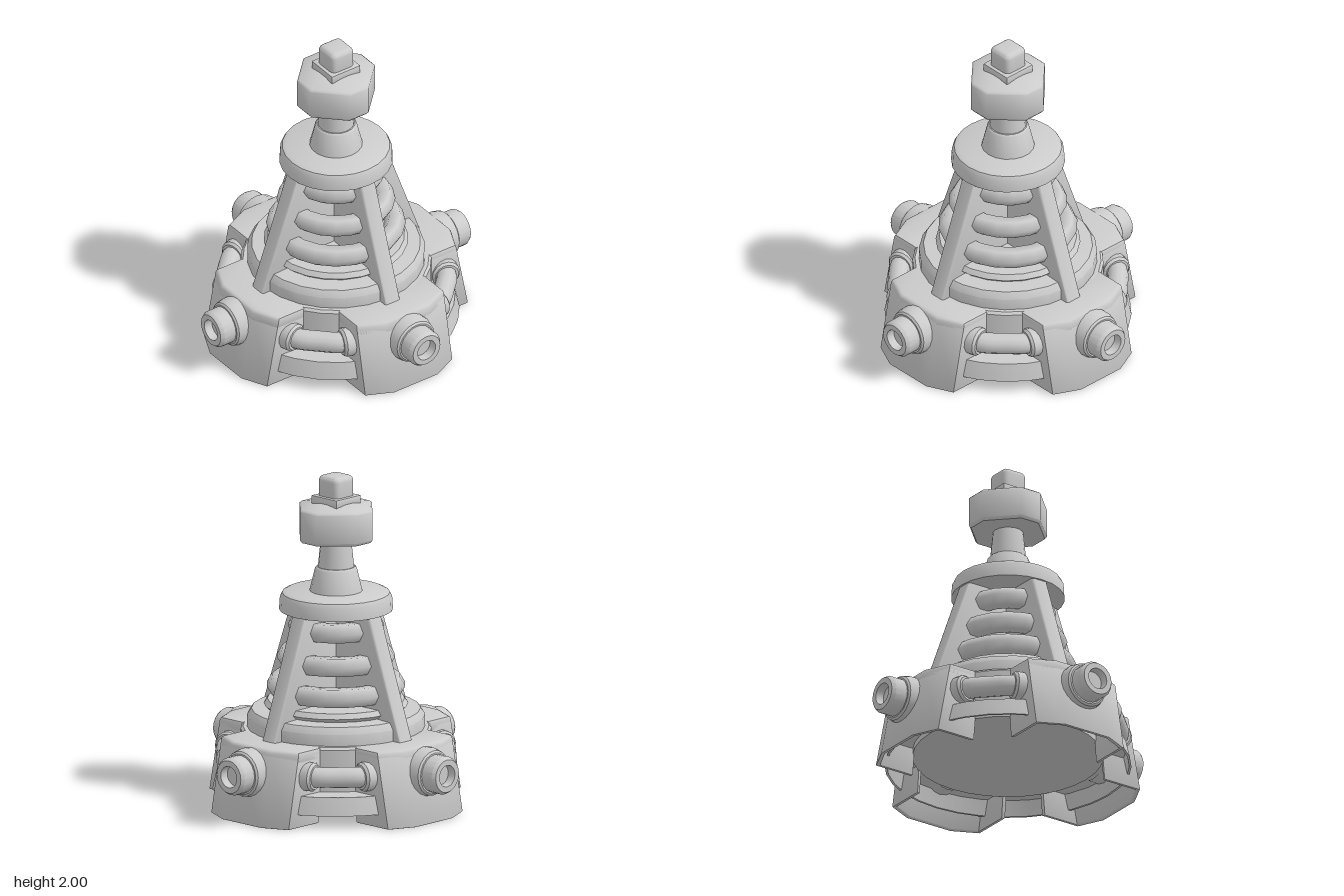
import * as THREE from 'three';
import { toCreasedNormals } from 'three/addons/utils/BufferGeometryUtils.js';
import { RoundedBoxGeometry } from 'three/addons/geometries/RoundedBoxGeometry.js';

const material = new THREE.MeshStandardMaterial({ color: 0xcccccc });

function part(name, geometry, crease = 0.6) {
  const mesh = new THREE.Mesh(toCreasedNormals(geometry, crease), material);
  mesh.name = name;
  return mesh;
}

// Profile points run from the bottom centre outwards and up
function lathe(points, segments) {
  return new THREE.LatheGeometry(points.map(([r, y]) => new THREE.Vector2(r, y)), segments);
}

function polygon(points) {
  return new THREE.Shape(points.map(([x, y]) => new THREE.Vector2(x, y)));
}

// Piece of a foot: bevelled plan outline between two heights, outer face leaning inwards
function footPiece(outline, bottom, top, bevel) {
  const g = new THREE.ExtrudeGeometry(polygon(outline), {
    depth: top - bottom - 2 * bevel, bevelThickness: bevel, bevelSize: bevel,
    bevelOffset: -bevel, bevelSegments: 2,
  });
  g.translate(0, 0, bottom + bevel).rotateX(-Math.PI / 2).rotateY(Math.PI);
  const p = g.attributes.position;
  for (let i = 0; i < p.count; i++) {
    const z = p.getZ(i);
    p.setZ(i, z - (z > 0.63 ? 0.09 : 0.04) * p.getY(i) / 0.46);
  }
  return g;
}

// Hollow foot, open underneath: a thin three-sided wall under a top slab
function foot() {
  const outer = [[0.32, 0.48], [0.32, 0.74], [0.16, 0.815], [-0.16, 0.815], [-0.32, 0.74], [-0.32, 0.48]];
  const inner = [[-0.3, 0.485], [-0.3, 0.722], [-0.153, 0.793], [0.153, 0.793], [0.3, 0.722], [0.3, 0.485]];
  const group = new THREE.Group();
  group.name = 'foot';
  group.add(part('footWall', footPiece([...outer, ...inner], 0, 0.43, 0.006), 0.75));
  group.add(part('footTop', footPiece(outer, 0.38, 0.46, 0.018), 0.75));
  return group;
}

// Round port with a flange and a recessed end, pointing along +z
function portGeometry() {
  const g = lathe([[0.145, 0.62], [0.148, 0.765], [0.137, 0.81], [0.125, 0.82], [0.115, 0.82],
    [0.115, 0.9], [0.1, 0.922], [0.066, 0.922], [0.062, 0.87], [0, 0.87]], 20);
  return g.rotateX(Math.PI / 2);
}

// Sloping fin reaching the centre axis
function finGeometry() {
  const g = new THREE.ExtrudeGeometry(polygon([[0, 0.44], [0.588, 0.44], [0.318, 1.2], [0, 1.2]]), {
    depth: 0.08, bevelThickness: 0.015, bevelSize: 0.015, bevelOffset: -0.015, bevelSegments: 2,
  });
  return g.translate(0, 0, -0.04).rotateY(-Math.PI / 2);
}

// Bent pipe joining two neighbouring feet, with a collar at each end
function pipe() {
  const group = new THREE.Group();
  group.name = 'pipe';
  const path = new THREE.CatmullRomCurve3(
    [[0.28, 0.575], [0.365, 0.55], [0.462, 0.462], [0.55, 0.365], [0.575, 0.28]]
      .map(([x, z]) => new THREE.Vector3(x, 0.3, z)));
  group.add(part('pipeTube', new THREE.TubeGeometry(path, 14, 0.063, 12)));
  const collar = lathe([[0, -0.05], [0.08, -0.05], [0.088, -0.03], [0.088, 0.015], [0.075, 0.03], [0, 0.03]], 14);
  for (const end of [0, 1]) {
    const mesh = part('pipeCollar', collar);
    const t = end ? 0.87 : 0.13;
    mesh.position.copy(path.getPointAt(t));
    const direction = path.getTangentAt(t).multiplyScalar(end ? -1 : 1);
    mesh.quaternion.setFromUnitVectors(new THREE.Vector3(0, 1, 0), direction);
    group.add(mesh);
  }
  return group;
}

// Square block with cut corners: an eight-sided lathe whose axis-facing flats are narrowed
function headGeometry() {
  const k = 1 / Math.cos(Math.PI / 8);
  const g = lathe([[0, 1.608], [0.225 * k, 1.608], [0.238 * k, 1.625], [0.238 * k, 1.8],
    [0.225 * k, 1.812], [0.1 * k, 1.838], [0, 1.838]], 8).rotateY(Math.PI / 8);
  const p = g.attributes.position;
  for (let i = 0; i < p.count; i++) {
    if (Math.abs(p.getX(i)) < Math.abs(p.getZ(i))) p.setX(i, p.getX(i) * 0.68);
    else p.setZ(i, p.getZ(i) * 0.68);
  }
  return g;
}

export function createModel() {
  const model = new THREE.Group();
  model.name = 'tower';

  // Base drum, thin skirt around it, and the stepped tier on top
  model.add(part('baseDrum', lathe([[0, 0.14], [0.57, 0.14], [0.57, 0.445], [0.555, 0.46], [0, 0.46]], 32)));
  model.add(part('skirt', lathe([[0.56, 0.176], [0.7, 0.176], [0.723, 0.08], [0.737, 0.08],
    [0.712, 0.19], [0.56, 0.19]], 32)));
  model.add(part('baseTier', lathe([[0, 0.45], [0.532, 0.45], [0.532, 0.53], [0.505, 0.57], [0.4, 0.575],
    [0.41, 0.58], [0.432, 0.6], [0.41, 0.63], [0, 0.63]], 24)));

  // Four quarters: foot, port, fin and connecting pipe
  for (let i = 0; i < 4; i++) {
    const quarter = new THREE.Group();
    quarter.name = 'quarter';
    quarter.rotation.y = i * Math.PI / 2;
    const port = part('port', portGeometry());
    port.position.y = 0.305;
    quarter.add(foot(), port, part('fin', finGeometry(), 0.9), pipe());
    model.add(quarter);
  }

  // Coil rings shrinking upwards
  for (const [y, radius] of [[0.715, 0.417], [0.89, 0.355], [1.08, 0.288]]) {
    const ring = part('coilRing', new THREE.TorusGeometry(radius - 0.063, 0.063, 6, 20).rotateX(Math.PI / 2), 1.2);
    ring.position.y = y;
    model.add(ring);
  }

  // Cap and mast
  model.add(part('cap', lathe([[0, 1.178], [0.34, 1.178], [0.335, 1.255], [0.322, 1.28],
    [0.297, 1.292], [0, 1.292]], 24)));
  model.add(part('mast', lathe([[0.16, 1.285], [0.125, 1.43], [0.115, 1.44], [0.108, 1.44],
    [0.09, 1.62]], 18)));

  // Head, square plate and tip
  const plate = part('tipPlate', new RoundedBoxGeometry(0.21, 0.06, 0.21, 1, 0.006));
  plate.position.y = 1.845;
  const tip = part('tip', new RoundedBoxGeometry(0.165, 0.16, 0.165, 3, 0.035));
  tip.position.y = 1.92;
  model.add(part('head', headGeometry(), 0.9), plate, tip);

  return model;
}
